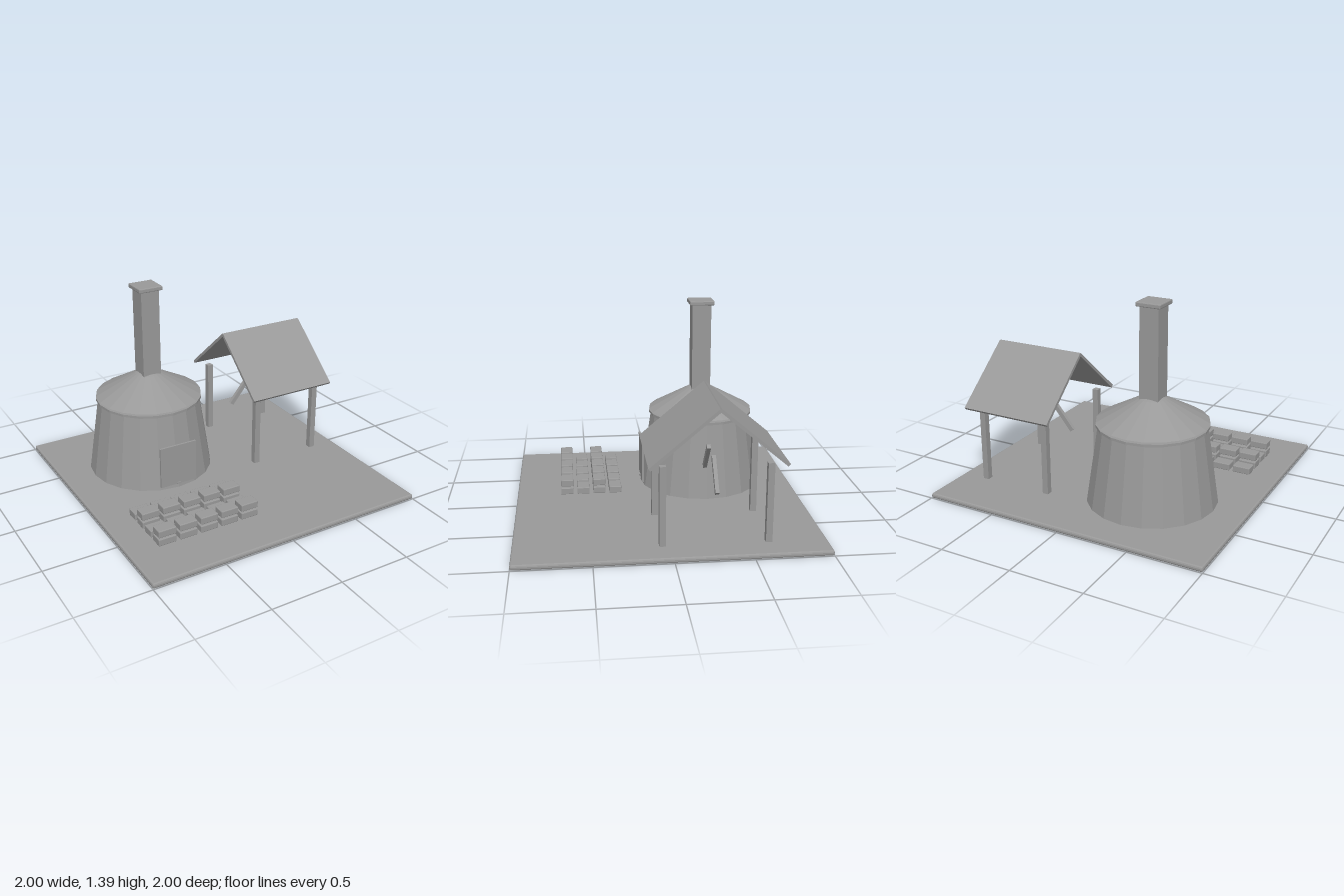
import * as THREE from 'three';
import { RoundedBoxGeometry } from 'three/addons/geometries/RoundedBoxGeometry.js';

export function createModel() {
  const model = new THREE.Group();
  model.name = 'kilnYard';
  const clay = new THREE.MeshStandardMaterial({ color: 0x999999, flatShading: true });
  clay.name = 'clayGrey';

  const add = (name, geometry, x, y, z, parent = model) => {
    const mesh = new THREE.Mesh(geometry, clay);
    mesh.name = name;
    mesh.position.set(x, y, z);
    parent.add(mesh);
    return mesh;
  };
  const group = (name) => {
    const g = new THREE.Group();
    g.name = name;
    model.add(g);
    return g;
  };
  const box = (w, h, d) => new THREE.BoxGeometry(w, h, d);
  const softBox = (w, h, d, r) => new RoundedBoxGeometry(w, h, d, 1, r);
  const lathe = (points) =>
    new THREE.LatheGeometry(points.map(([r, y]) => new THREE.Vector2(r, y)), 20);

  // Ground slab
  add('groundSlab', softBox(2, 0.035, 2, 0.012), 0, 0.0175, 0);

  // Kiln: tapered body, rim, floating domed roof and square chimney
  const kiln = group('kiln');
  kiln.position.set(-0.343, 0, -0.343);
  add('kilnBody', lathe([[0, 0.038], [0.441, 0.038], [0.362, 0.57], [0, 0.57]]), 0, 0, 0, kiln);
  add('kilnRim', new THREE.CylinderGeometry(0.375, 0.375, 0.017, 20), 0, 0.571, 0, kiln);
  add('kilnRoof', lathe([[0, 0.593], [0.374, 0.593], [0.09, 0.748], [0.055, 0.759], [0, 0.764]]), 0, 0, 0, kiln);
  add('chimney', box(0.134, 0.66, 0.134), 0.002, 1.03, 0.002, kiln);
  add('chimneyCap', softBox(0.174, 0.03, 0.174, 0.006), 0.002, 1.375, 0.002, kiln);

  // Door plate with a small handle
  add('kilnDoor', box(0.275, 0.3, 0.014), -0.343, 0.216, 0.091);
  add('doorHandle', box(0.03, 0.012, 0.008), -0.343, 0.072, 0.1);

  // Open shed: four posts, two braces and a pitched roof
  const shed = group('shed');
  for (const x of [0.316, 0.81]) {
    for (const z of [0.058, -0.62]) {
      add('shedPost', box(0.042, 0.53, 0.042), x, 0.3, z, shed);
    }
  }
  for (const side of [-1, 1]) {
    const brace = add('shedBrace', box(0.25, 0.032, 0.025), 0.563 + side * 0.173, 0.466, -0.283, shed);
    brace.rotation.z = -side * 0.88;
    const panel = add('roofPanel', box(0.66, 0.021, 0.565), 0.565, 0.753, -0.284 + side * 0.214, shed);
    panel.rotation.x = side * 0.7;
  }

  // Drying bricks: four rows, with a second course on alternate rows
  const bricks = group('brickStacks');
  const brick = softBox(0.125, 0.048, 0.087, 0.005);
  for (let row = 0; row < 4; row++) {
    for (let col = 0; col < 5; col++) {
      const x = -0.738 + col * 0.151;
      const z = 0.302 + row * 0.1145;
      add('brick', brick, x, 0.069, z, bricks);
      if (row % 2) add('upperBrick', brick, x, 0.129, z, bricks);
    }
  }
  return model;
}
